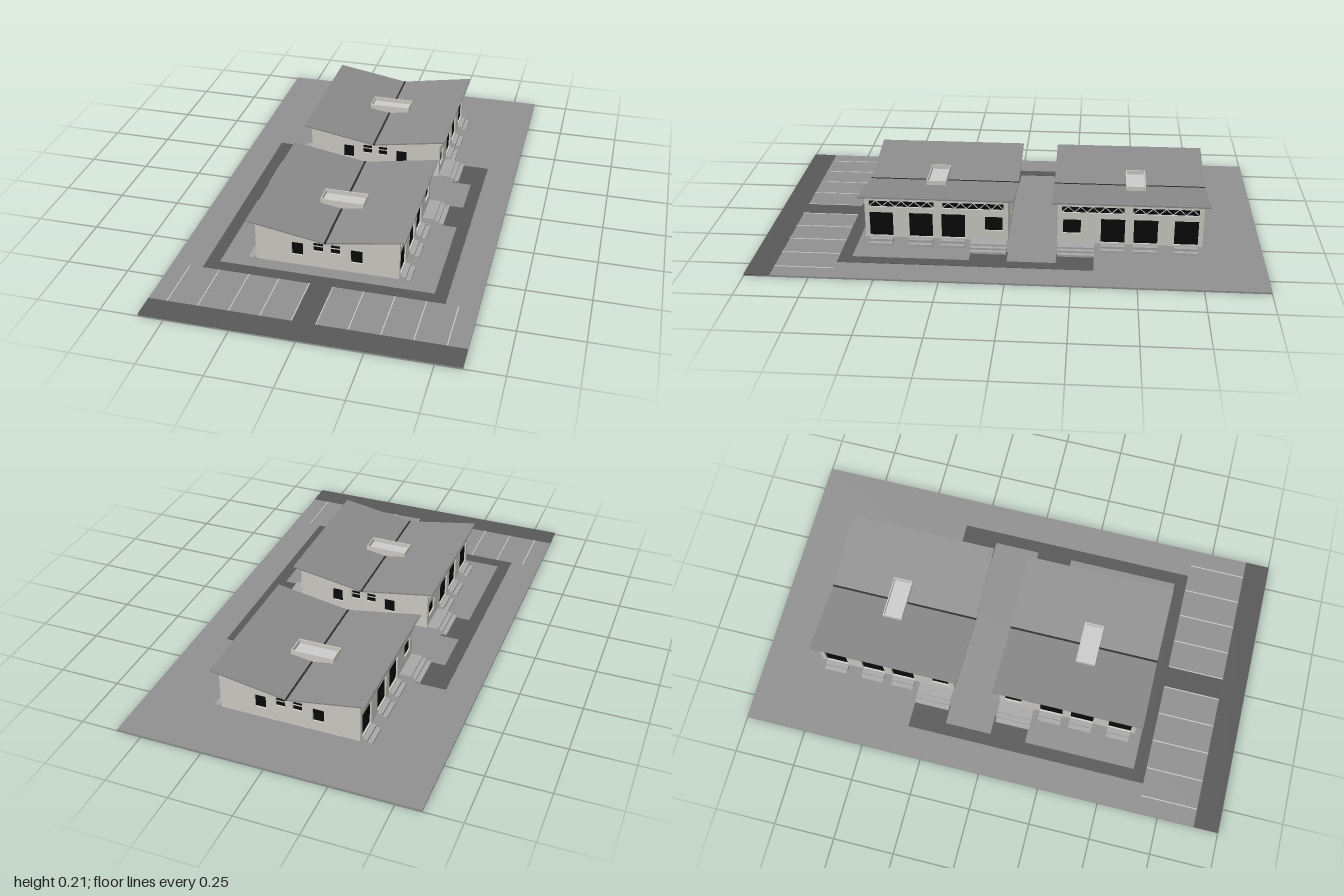
import * as THREE from 'three';

const mat = (color, side = THREE.FrontSide) => new THREE.MeshStandardMaterial({ color, side });
const M = {
  ground: mat(0x909090), path: mat(0x585858), line: mat(0xd8d8d8), wall: mat(0xd0cfc8),
  roof: mat(0x8c8c8c), dark: mat(0x0a0a0a), gutter: mat(0x2c2c2c), step: mat(0xa8a8a8), grey: mat(0xcccccc),
};

// Box given by its min and max corners
function box(parent, name, material, x0, x1, y0, y1, z0, z1) {
  const m = new THREE.Mesh(new THREE.BoxGeometry(x1 - x0, y1 - y0, z1 - z0), material);
  m.position.set((x0 + x1) / 2, (y0 + y1) / 2, (z0 + z1) / 2);
  m.name = name;
  parent.add(m);
  return m;
}

// Extruded outline with rectangular openings [x0, x1, y0, y1]
function panel(points, holes, depth) {
  const s = new THREE.Shape(points.map(p => new THREE.Vector2(...p)));
  for (const [a, b, c, d] of holes) {
    s.holes.push(new THREE.Path([[a, c], [a, d], [b, d], [b, c]].map(p => new THREE.Vector2(...p))));
  }
  return new THREE.ExtrudeGeometry(s, { depth, bevelEnabled: false });
}

const W = 0.283, L = 0.288, T = 0.012, FLOOR = 0.028;
const roofY = x => 0.154 + Math.abs(x) * 0.168;
const DOORS = [[0.175, 0.27], [0.015, 0.11], [-0.115, -0.02]];
const STRIPS = [[0.01, 0.27], [-0.27, -0.025]];

// Gable wall facing +z with two tall and two small windows
function endWall() {
  const g = new THREE.Group();
  g.name = 'endWall';
  const holes = [];
  for (const s of [-1, 1]) {
    for (const [a, b, c, d] of [[0.094, 0.139, 0.072, 0.128], [0.015, 0.053, 0.1, 0.138]]) {
      holes.push([Math.min(s * a, s * b), Math.max(s * a, s * b), c, d]);
    }
    box(g, 'windowBar', M.grey, s * 0.034 - 0.019, s * 0.034 + 0.019, 0.12, 0.123, L - 0.006, L - 0.003);
  }
  const outline = [[-W, FLOOR], [W, FLOOR], [W, roofY(W)], [0, roofY(0)], [-W, roofY(W)]];
  const wall = new THREE.Mesh(panel(outline, holes, T), M.wall);
  wall.position.z = L - T;
  wall.name = 'gable';
  g.add(wall);
  for (const [a, b, c, d] of holes) box(g, 'windowPane', M.dark, a - 0.002, b + 0.002, c - 0.002, d + 0.002, L - T - 0.002, L - 0.007);
  return g;
}

// Long wall facing +x or -x; the shape's x axis is mapped onto z
function sideWall(s) {
  const g = new THREE.Group();
  g.name = s > 0 ? 'leftWall' : 'rightWall';
  const holes = [
    ...DOORS.map(([a, b]) => [a, b, 0.033, 0.136]),
    ...STRIPS.map(([a, b]) => [a, b, 0.16, 0.186]),
    [-0.265, -0.195, 0.07, 0.13],
  ];
  const e = L - T, top = roofY(W - T);
  const mapped = holes.map(([a, b, c, d]) => (s > 0 ? [-b, -a, c, d] : [a, b, c, d]));
  const wall = new THREE.Mesh(panel([[-e, FLOOR], [e, FLOOR], [e, top], [-e, top]], mapped, T), M.wall);
  wall.rotation.y = s * Math.PI / 2;
  wall.position.x = s * (W - T);
  wall.name = 'wall';
  g.add(wall);
  for (const [a, b, c, d] of holes) {
    const x = s * (W - 0.0105);
    box(g, 'darkOpening', M.dark, x - 0.0035, x + 0.0035, c - 0.002, d + 0.002, a - 0.002, b + 0.002);
  }
  // Zigzag truss in the high window strips
  for (const [a, b] of STRIPS) {
    const n = 10, w = (b - a) / n;
    for (let i = 0; i < n; i++) {
      const bar = box(g, 'trussBar', M.grey, -0.0015, 0.0015, -0.0015, 0.0015, -0.0165, 0.0165);
      bar.position.set(s * (W - 0.004), 0.173, a + (i + 0.5) * w);
      bar.rotation.x = (i % 2 ? 1 : -1) * Math.atan2(0.024, w);
    }
  }
  return g;
}

// Steps at the doors and a broad landing at the inner corner
function steps(s) {
  const g = new THREE.Group();
  g.name = s > 0 ? 'leftSteps' : 'rightSteps';
  const slab = (name, x0, x1, y0, y1, z0, z1) =>
    box(g, name, M.step, Math.min(s * x0, s * x1), Math.max(s * x0, s * x1), y0, y1, z0, z1);
  for (const [a, b] of DOORS) {
    slab('upperDoorStep', W, 0.303, 0.016, 0.026, a, b);
    slab('lowerDoorStep', 0.288, 0.322, 0.008, 0.016, a, b);
  }
  slab('landing', W, 0.332, 0.025, 0.032, -0.285, -0.14);
  slab('upperStep', 0.325, 0.351, 0.017, 0.025, -0.285, -0.14);
  slab('lowerStep', 0.342, 0.37, 0.008, 0.017, -0.285, -0.14);
  return g;
}

function building() {
  const g = new THREE.Group();
  g.name = 'building';
  const back = endWall();
  back.rotation.y = Math.PI;
  g.add(endWall(), back);
  for (const s of [-1, 1]) g.add(sideWall(s), steps(s));
  box(g, 'floor', M.wall, -W + 0.001, W - 0.001, FLOOR, 0.033, -L + 0.001, L - 0.001);

  // Butterfly roof with a dark valley gutter
  const R = 0.308, t = 0.006;
  const v = [[-R, roofY(R)], [0, roofY(0)], [R, roofY(R)], [R, roofY(R) + t], [0, roofY(0) + t], [-R, roofY(R) + t]];
  const roof = new THREE.Mesh(panel(v, [], 0.622), M.roof);
  roof.position.z = -0.311;
  roof.name = 'roof';
  g.add(roof);
  box(g, 'valleyGutter', M.gutter, -0.004, 0.004, 0.156, 0.1615, -0.312, 0.312);

  // Open roof light straddling the valley
  const x = 0.087, z0 = -0.015, z1 = 0.065, w = 0.004;
  for (const s of [-1, 1]) {
    box(g, 'roofLightSide', M.wall, s * x - (s > 0 ? w : 0), s * x + (s > 0 ? 0 : w), 0.16, 0.193, z0, z1);
  }
  box(g, 'roofLightBack', M.wall, -x, x, 0.155, 0.193, z0, z0 + w);
  box(g, 'roofLightFront', M.wall, -x, x, 0.155, 0.193, z1 - w, z1);
  box(g, 'roofLightGlass', M.grey, -x + w, x - w, 0.17, 0.175, z0 + w, z1 - w);
  return g;
}

export function createModel() {
  const model = new THREE.Group();
  model.name = 'site';
  box(model, 'ground', M.ground, -0.6, 0.6, 0, 0.007, -1, 1);

  // Paved paths and road
  const paths = new THREE.Group();
  paths.name = 'paths';
  const pave = (name, x0, x1, z0, z1) => box(paths, name, M.path, x0, x1, 0.004, 0.0085, z0, z1);
  pave('road', -0.6, 0.6, 0.9, 1);
  pave('driveway', -0.046, 0.046, 0.665, 0.9);
  pave('frontPath', -0.475, 0.475, 0.615, 0.665);
  for (const s of [-1, 1]) {
    const strip = (name, a, b, z0, z1) => pave(name, Math.min(s * a, s * b), Math.max(s * a, s * b), z0, z1);
    strip('sidePath', 0.425, 0.475, -0.335, 0.615);
    strip('rearEntryPath', 0.345, 0.425, -0.335, -0.187);
    strip('frontEntryPath', 0.345, 0.425, 0.005, 0.153);
    // Parking bay lines
    for (let i = 0; i < 5; i++) {
      const x = s * (0.046 + i * 0.12);
      box(paths, 'parkingLine', M.line, x - 0.002, x + 0.002, 0.004, 0.009, 0.667, 0.9);
    }
  }
  model.add(paths);

  // Two matching buildings facing each other across the court
  const front = building(), rear = building();
  front.name = 'frontBuilding';
  front.position.z = 0.297;
  rear.name = 'rearBuilding';
  rear.position.z = -0.475;
  rear.rotation.y = Math.PI;
  model.add(front, rear);
  return model;
}
